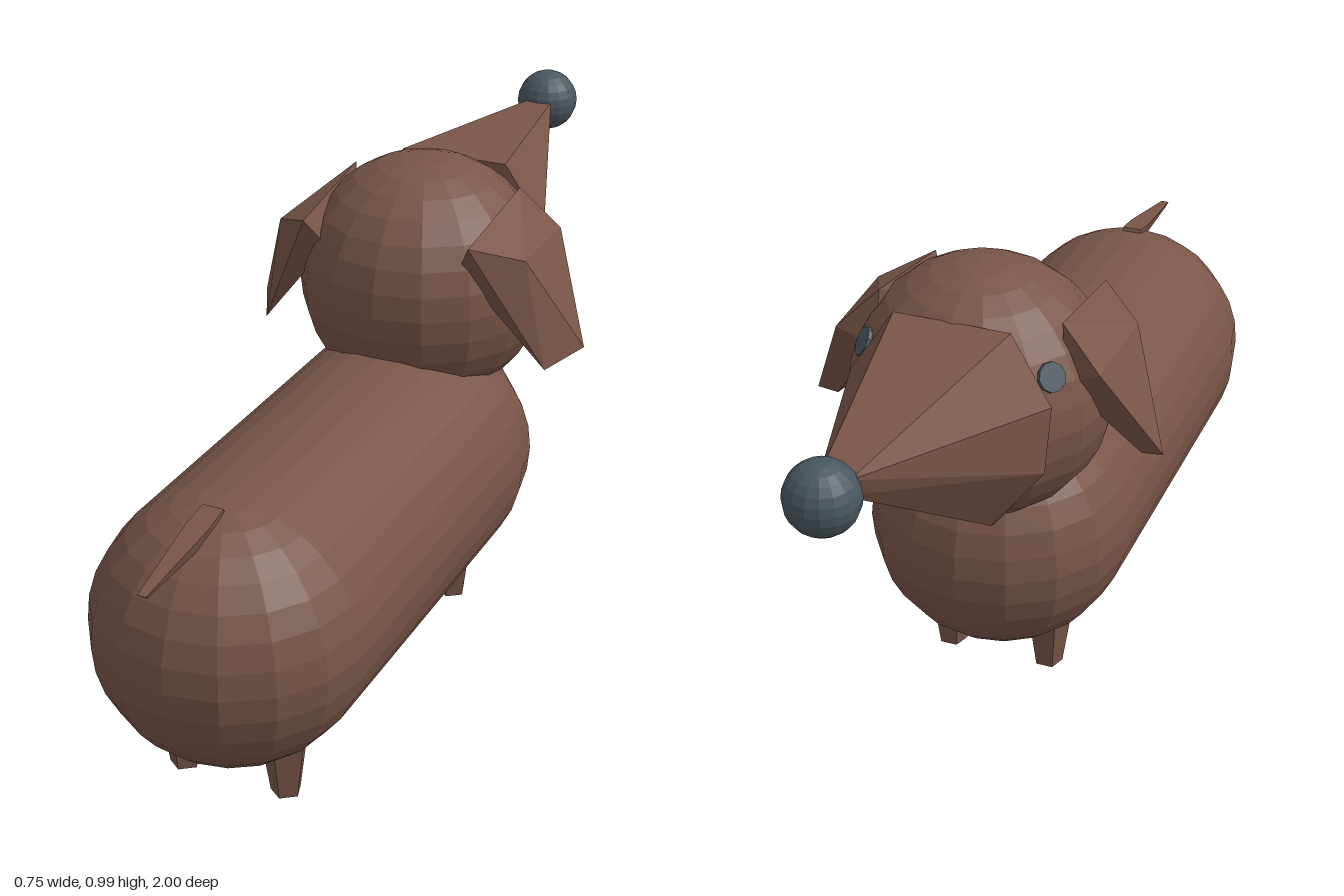
import * as THREE from 'three';
import { ConvexGeometry } from 'three/addons/geometries/ConvexGeometry.js';

export function createModel() {
  const model = new THREE.Group();
  model.name = 'dog';

  const fur = new THREE.MeshStandardMaterial({ color: 0x795548, flatShading: true });
  fur.name = 'brown fur';
  const slate = new THREE.MeshStandardMaterial({ color: 0x4a575f, flatShading: true });
  slate.name = 'slate grey';

  function add(name, geometry, material, x = 0, y = 0, z = 0, parent = model) {
    const mesh = new THREE.Mesh(geometry, material);
    mesh.name = name;
    mesh.position.set(x, y, z);
    parent.add(mesh);
    return mesh;
  }
  const hull = (points) => new ConvexGeometry(points.map((p) => new THREE.Vector3(...p)));
  // Adds the mirror image of every point across x = 0
  const mirrored = (points) => points.flatMap(([x, y, z]) => (x ? [[x, y, z], [-x, y, z]] : [[x, y, z]]));

  // Body: a long barrel between two half spheres
  const body = new THREE.Group();
  body.name = 'body';
  model.add(body);
  const R = 0.275, backZ = 0.69, frontZ = -0.11;
  const barrel = new THREE.CylinderGeometry(R, R, backZ - frontZ, 32, 1, true).rotateX(Math.PI / 2);
  add('barrel', barrel, fur, 0, 0.35, (backZ + frontZ) / 2, body);
  const rump = new THREE.SphereGeometry(R, 8, 16, 0, Math.PI).scale(1, 1, 0.96);
  add('rump', rump, fur, 0, 0.35, backZ, body);
  const chest = new THREE.SphereGeometry(R, 8, 16, Math.PI, Math.PI).scale(1, 1, 0.96);
  add('chest', chest, fur, 0, 0.35, frontZ, body);

  // Short five-sided legs
  for (const z of [0.695, -0.12]) {
    for (const side of [-1, 1]) {
      const leg = new THREE.CylinderGeometry(0.056, 0.031, 0.17, 5);
      add(z > 0 ? 'backLeg' : 'frontLeg', leg, fur, side * 0.112, 0.085, z);
    }
  }

  // Thin tapered tail
  add('tail', hull(mirrored([
    [0.022, 0.628, 0.74], [0.015, 0.585, 0.72],
    [0.024, 0.618, 0.8], [0.012, 0.598, 0.82],
    [0.009, 0.583, 1.0], [0.006, 0.575, 0.99],
  ])), fur);

  // Head
  const headCentre = new THREE.Vector3(0, 0.722, -0.205);
  add('head', new THREE.SphereGeometry(0.267, 16, 16), fur, ...headCentre);

  // Long faceted snout with a ball nose
  add('snout', hull(mirrored([
    [0.12, 0.935, -0.36], [0.208, 0.8, -0.375], [0.2, 0.66, -0.39],
    [0.1, 0.535, -0.42], [0.08, 0.49, -0.35],
    [0.028, 0.9, -0.88], [0.015, 0.865, -0.88],
  ])), fur);
  add('nose', new THREE.SphereGeometry(0.07, 16, 12), slate, 0, 0.89, -0.93);

  // Drooping ears and flat eyes on both sides
  for (const side of [-1, 1]) {
    add('ear', hull([
      [0.15, 0.82, -0.04], [0.185, 0.885, 0.0], [0.28, 0.845, -0.08],
      [0.19, 0.925, -0.27], [0.275, 0.84, -0.295], [0.2, 0.8, -0.28],
      [0.375, 0.625, -0.19], [0.325, 0.605, -0.09], [0.33, 0.62, -0.19],
    ].map(([x, y, z]) => [side * x, y, z])), fur);

    const outward = new THREE.Vector3(side * 0.195, 0.123, -0.135).normalize();
    const spot = headCentre.clone().addScaledVector(outward, 0.266);
    const eye = add('eye', new THREE.CylinderGeometry(0.03, 0.03, 0.009, 10), slate, ...spot);
    eye.quaternion.setFromUnitVectors(new THREE.Vector3(0, 1, 0), outward);
  }

  return model;
}
